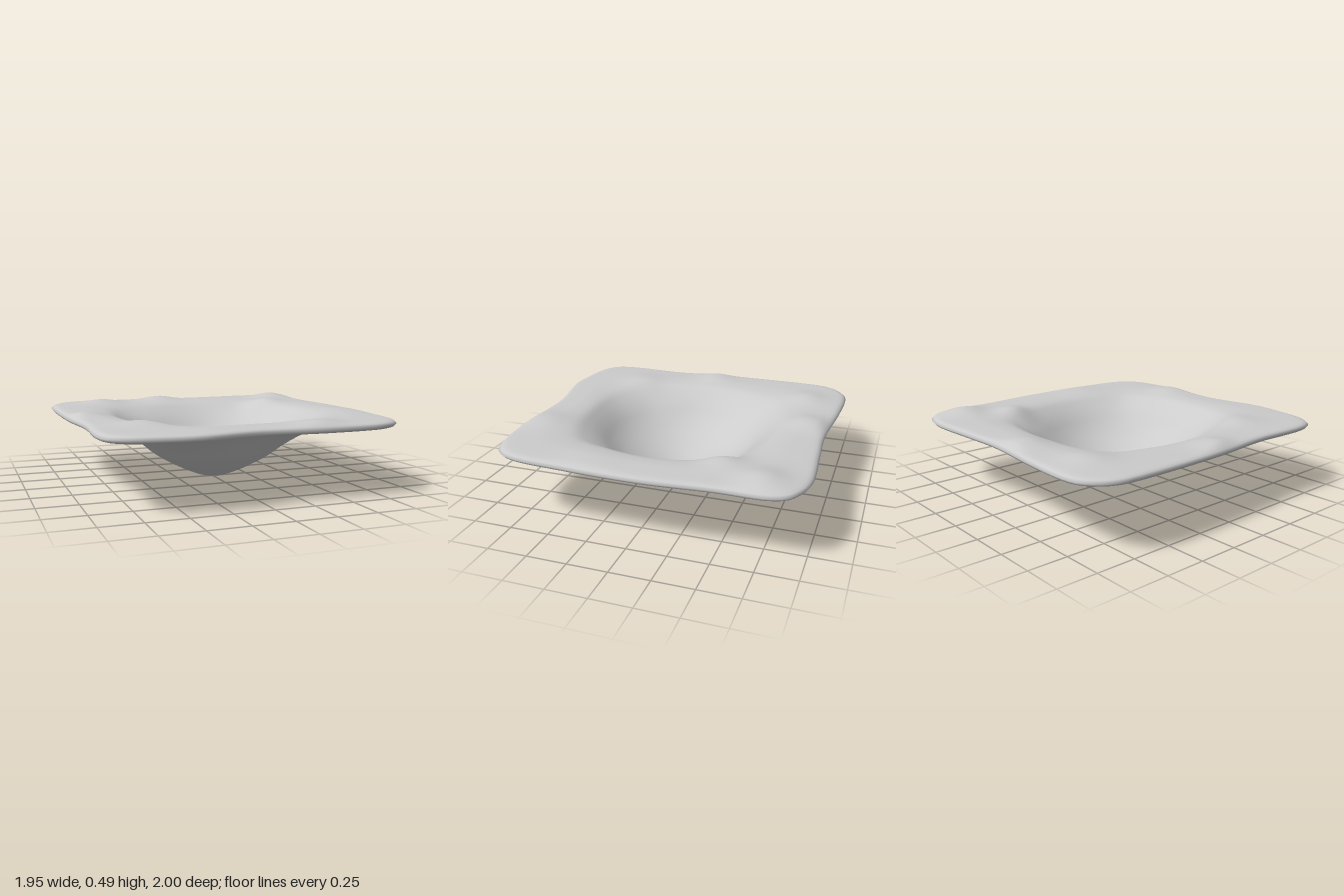
import * as THREE from 'three';

// Wavy outer edge of the slab, as x, z pairs
const OUTLINE = [
  [-0.72, -1], [-0.44, -0.995], [0.03, -0.96], [0.32, -0.975], [0.68, -0.99], [0.81, -0.96],
  [0.9, -0.9], [0.94, -0.8], [0.945, -0.5], [0.975, -0.08], [0.96, 0.4], [0.925, 0.76],
  [0.87, 0.86], [0.76, 0.92], [0.4, 0.95], [-0.03, 0.93], [-0.41, 0.995], [-0.58, 0.985],
  [-0.83, 0.93], [-0.915, 0.86], [-0.945, 0.74], [-0.935, 0.34], [-0.97, -0.05],
  [-0.975, -0.69], [-0.96, -0.81], [-0.915, -0.9], [-0.83, -0.975],
];

// Cross-section: underside from the centre out, round edge, then back over the top
const UNDERSIDE = [[0, 0], [0.1, 0.02], [0.2, 0.06], [0.3, 0.11], [0.4, 0.17], [0.5, 0.25],
  [0.6, 0.325], [0.68, 0.365], [0.78, 0.39], [0.88, 0.398], [0.96, 0.4]];
const EDGE = [[0.985, 0.406], [1, 0.424], [0.985, 0.441]];
const TOP = [[0.96, 0.447], [0.88, 0.45], [0.78, 0.45], [0.68, 0.435], [0.61, 0.395], [0.54, 0.34],
  [0.46, 0.265], [0.38, 0.205], [0.28, 0.15], [0.18, 0.11], [0.09, 0.085], [0, 0.075]];

// Low swellings on the upper surface: x, z, height, radius
const BUMPS = [
  [0.77, -0.73, 0.035, 0.13], [0.58, -0.45, 0.035, 0.12], [-0.58, 0.5, 0.03, 0.15],
  [-0.87, 0, 0.025, 0.12], [-0.13, -0.84, 0.028, 0.13], [-0.6, -0.74, 0.025, 0.14],
  [0.35, 0.84, 0.022, 0.14], [0.8, 0.3, 0.012, 0.18],
];

const bumpHeight = (x, z) => BUMPS.reduce(
  (sum, [bx, bz, h, r]) => sum + h * Math.exp(-((x - bx) ** 2 + (z - bz) ** 2) / (r * r)), 0);

function bowlGeometry(around = 160, along = 110) {
  const outline = new THREE.CatmullRomCurve3(
    OUTLINE.map(([x, z]) => new THREE.Vector3(x, 0, z)), true).getSpacedPoints(around);
  const section = new THREE.SplineCurve(
    [...UNDERSIDE, ...EDGE, ...TOP].map(([r, y]) => new THREE.Vector2(r, y))).getSpacedPoints(along);
  const positions = [], index = [];

  section.forEach(({ x: r, y }, i) => {
    // Round in the hollow, blending to the wavy square at the edge
    const blend = THREE.MathUtils.smoothstep(r, 0.4, 0.97);
    const onTop = i > along / 2 ? 1 - THREE.MathUtils.smoothstep(r, 0.93, 1) : 0;
    for (let j = 0; j < around; j++) {
      const p = outline[j].clone().normalize().lerp(outline[j], blend).multiplyScalar(r);
      const lift = onTop * THREE.MathUtils.smoothstep(r, 0.3, 0.65) * bumpHeight(p.x, p.z);
      positions.push(p.x, Math.max(0, y) + lift, p.z);
      if (i < along) {
        const a = i * around + j, b = i * around + (j + 1) % around;
        const c = b + around, d = a + around;
        if (i > 0) index.push(a, d, b);
        if (i < along - 1) index.push(b, d, c);
        else index.push(b, a, d);
        if (i === along - 1) index.splice(index.length - 3, 3);
      }
    }
  });

  const geometry = new THREE.BufferGeometry();
  geometry.setAttribute('position', new THREE.Float32BufferAttribute(positions, 3));
  geometry.setIndex(index);
  geometry.computeVertexNormals();
  return geometry;
}

export function createModel() {
  const group = new THREE.Group();
  group.name = 'hollowedSlab';
  const bowl = new THREE.Mesh(bowlGeometry(), new THREE.MeshStandardMaterial({ color: 0xcccccc }));
  bowl.name = 'bowl';
  group.add(bowl);
  return group;
}
